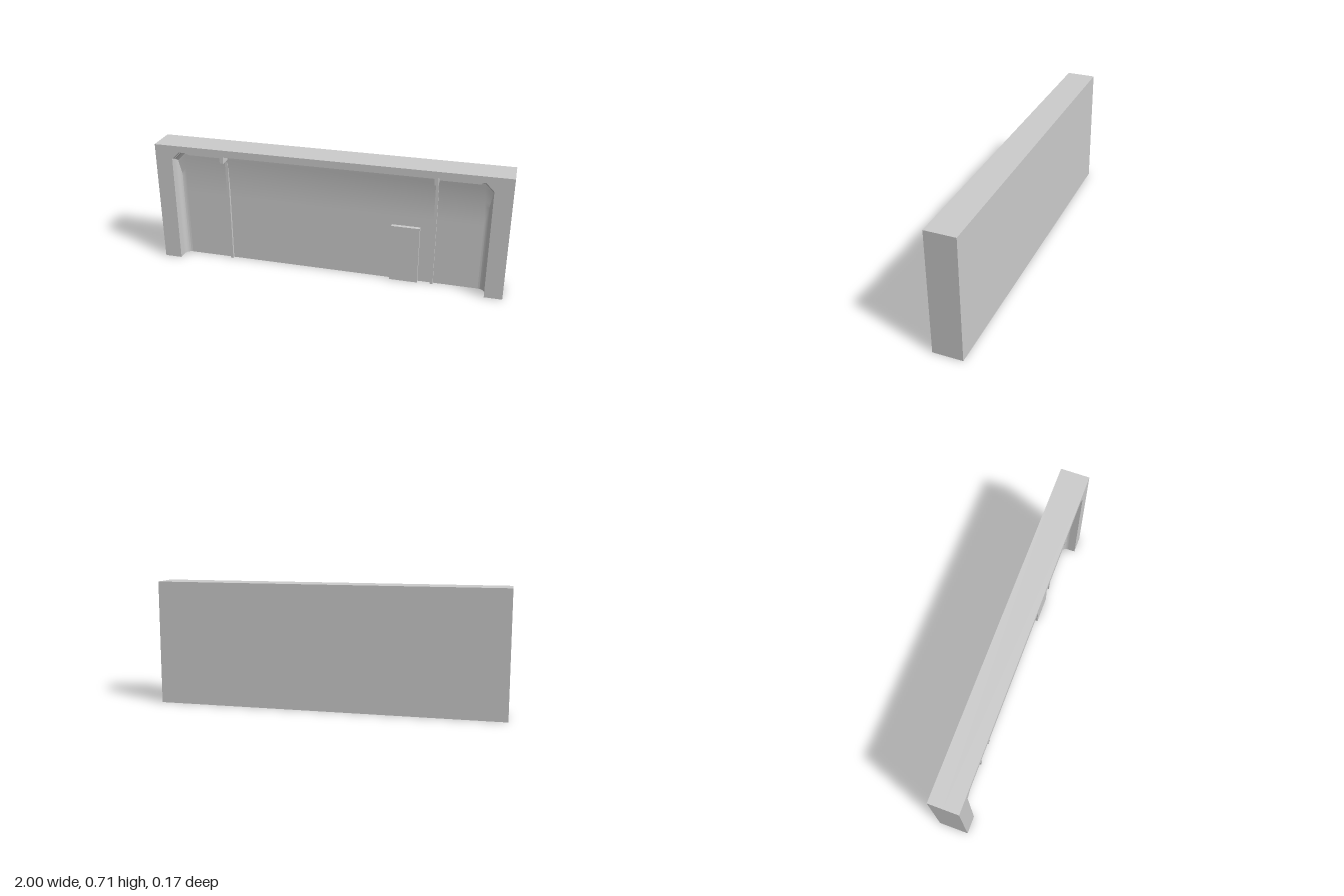
import * as THREE from 'three';
import { toCreasedNormals } from 'three/addons/utils/BufferGeometryUtils.js';

const H = 0.715, D = 0.084;          // height and half depth
const OPEN = 0.9, R = 0.04, C = 0.045; // opening half width, cove radius, corner chamfer

export function createModel() {
  const group = new THREE.Group();
  const mat = new THREE.MeshStandardMaterial({ color: 0xcccccc });

  function add(name, geometry) {
    const mesh = new THREE.Mesh(geometry, mat);
    mesh.name = name;
    group.add(mesh);
    return mesh;
  }
  // box given by its minimum and maximum corners
  function box(name, x0, x1, y0, y1, z0, z1) {
    const g = new THREE.BoxGeometry(x1 - x0, y1 - y0, z1 - z0);
    g.translate((x0 + x1) / 2, (y0 + y1) / 2, (z0 + z1) / 2);
    return add(name, g);
  }
  // arch outline of the recess, from bottom left over the top to bottom right
  const arch = (w, top, c) => [
    [-w, 0], [-w, top - c], [-w + c, top], [w - c, top], [w, top - c], [w, 0],
  ];
  // half width of the recess at depth z, narrowing in a round cove near the wall
  const halfWidth = (z) => z >= R ? OPEN : OPEN - R + Math.sqrt(R * R - (R - z) ** 2);

  // solid back slab
  box('backSlab', -1, 1, 0, H, -D, 0);

  // front frame around the opening
  const outline = [[-1, 0], [-1, H], [1, H], [1, 0], ...arch(OPEN, 0.68, C).reverse()];
  const frame = new THREE.Shape(outline.map(([x, y]) => new THREE.Vector2(x, y)));
  add('frontFrame', new THREE.ExtrudeGeometry(frame, { depth: D, bevelEnabled: false }));

  // recess lining: arch sections from the front edge back to the wall
  const sections = [[D, 0.68], [0.062, 0.675], [0.062, 0.669], [R, 0.665], [0.03, 0.656]];
  for (let i = 16; i >= 0; i--) {
    const s = i / 16;
    sections.push([0.02 * s * s, 0.4 + 0.248 * s]);
  }
  const positions = [];
  const rings = sections.map(([z, top]) => {
    const c = C * Math.min(1, (top - 0.4) / 0.24);
    return arch(halfWidth(z), top, c).map(([x, y]) => [x, y, z]);
  });
  for (let i = 0; i < rings.length - 1; i++) {
    for (let j = 0; j < 5; j++) {
      const a = rings[i][j], b = rings[i][j + 1];
      const c = rings[i + 1][j], d = rings[i + 1][j + 1];
      positions.push(...a, ...c, ...b, ...b, ...c, ...d);
    }
  }
  const lining = new THREE.BufferGeometry();
  lining.setAttribute('position', new THREE.Float32BufferAttribute(positions, 3));
  add('recessLining', toCreasedNormals(lining, 0.5));

  // lintel over the middle bay
  box('middleLintel', -0.59, 0.59, 0.674, 0.69, 0.03, D);
  box('middleLintelStep', -0.59, 0.59, 0.664, 0.69, 0.02, 0.05);

  for (const s of [-1, 1]) {
    const span = (a, b) => s > 0 ? [a, b] : [-b, -a];

    // underside of the side cove
    const pts = [new THREE.Vector2(s * OPEN, 0)];
    for (let i = 0; i <= 12; i++) {
      const a = i / 12 * Math.PI / 2;
      pts.push(new THREE.Vector2(s * (OPEN - R + R * Math.sin(a)), R - R * Math.cos(a)));
    }
    const cap = new THREE.ShapeGeometry(new THREE.Shape(pts));
    cap.rotateX(Math.PI / 2);
    add('coveUnderside', cap);

    // pilaster with the bracket joining it to the front edge
    box('pilaster', ...span(0.592, 0.608), 0, 0.67, -0.01, 0.016);
    box('bracket', ...span(0.59, 0.61), 0.637, 0.69, 0, D);

    // small stepped cornice in the end bay
    box('corniceLower', ...span(0.61, 0.83), 0.645, 0.67, 0, 0.03);
    box('corniceUpper', ...span(0.61, 0.84), 0.658, 0.675, 0, 0.045);
  }

  // door panel standing against the wall
  box('doorPanel', 0.36, 0.52, 0, 0.34, -0.01, 0.022);

  return group;
}
